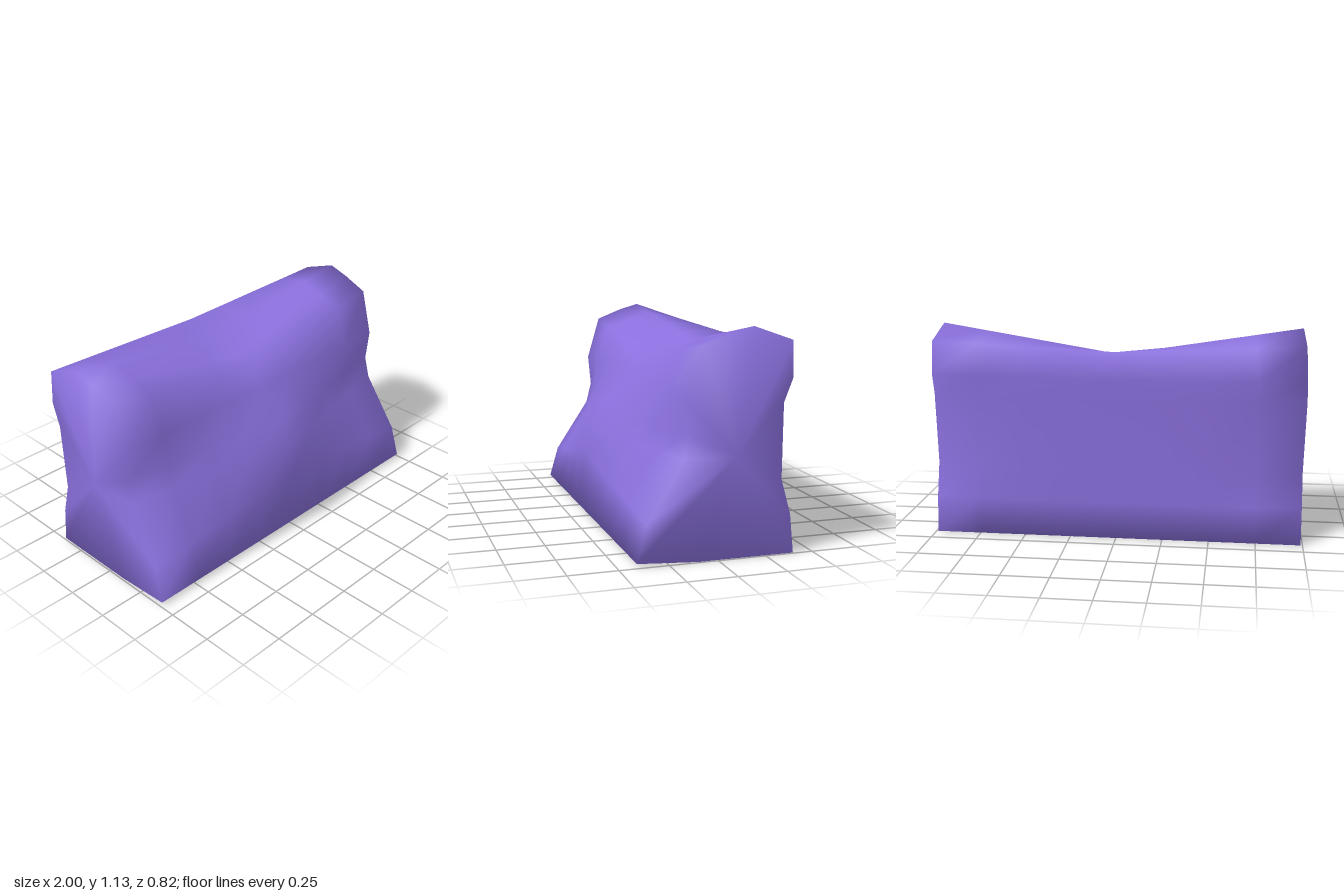
import * as THREE from 'three';

// Cross-sections as [z, y], running up the front, over the top, down the back
const MID = [
  [0.41, 0.02], [0.414, 0.37], [0.37, 0.5], [0.315, 0.645], [0.155, 0.795],
  [0.1, 0.91], [-0.05, 0.9], [-0.22, 0.98], [-0.4, 1.02], [-0.41, 0.87],
  [-0.4, 0.76], [-0.4, 0.38], [-0.4, 0.2], [-0.4, 0], [0.1, 0],
];
// End section as [z, y, x], x being the half-length at that point
const END = [
  [0.41, 0.02, 0.99], [0.36, 0.2, 0.98], [0.17, 0.5, 0.955], [0.14, 0.62, 0.95], [0.155, 0.795, 0.955],
  [0.08, 1.04, 0.965], [-0.06, 1.095, 0.97], [-0.18, 1.13, 0.975], [-0.38, 1.06, 0.985], [-0.38, 0.88, 0.995],
  [-0.33, 0.76, 1], [-0.33, 0.38, 0.99], [-0.38, 0.2, 0.99], [-0.4, 0, 0.99], [0.1, 0, 0.99],
];
const STATIONS = [-1, -0.75, -0.5, -0.25, 0, 0.25, 0.5, 0.75, 1];

function blockGeometry() {
  const n = MID.length;
  const pos = [];
  const index = [];
  // Blend from the sagging middle to the raised ends; the back stays flatter
  for (const s of STATIONS) {
    const t = Math.abs(s);
    for (let j = 0; j < n; j++) {
      const [z0, y0] = MID[j];
      const [z1, y1, x1] = END[j];
      const k = j >= 9 && j <= 12 ? t ** 4 : t;
      pos.push(s * x1, y0 + (y1 - y0) * t, z0 + (z1 - z0) * k);
    }
  }
  for (let i = 0; i < STATIONS.length - 1; i++) {
    for (let j = 0; j < n; j++) {
      const a = i * n + j;
      const d = i * n + (j + 1) % n;
      index.push(a, a + n, d + n, a, d + n, d);
    }
  }
  // Close both ends with a fan around a central point
  for (const side of [-1, 1]) {
    const base = side < 0 ? 0 : (STATIONS.length - 1) * n;
    const centre = pos.length / 3;
    pos.push(side * 0.98, 0.5, -0.1);
    for (let j = 0; j < n; j++) {
      const a = base + j;
      const b = base + (j + 1) % n;
      if (side > 0) index.push(centre, b, a);
      else index.push(centre, a, b);
    }
  }
  const geo = new THREE.BufferGeometry();
  geo.setAttribute('position', new THREE.Float32BufferAttribute(pos, 3));
  geo.setIndex(index);
  geo.computeVertexNormals();
  return geo;
}

export function createModel() {
  const group = new THREE.Group();
  group.name = 'wornBlock';
  const block = new THREE.Mesh(blockGeometry(), new THREE.MeshStandardMaterial({ color: 0x8a70dd }));
  block.name = 'block';
  group.add(block);
  return group;
}
